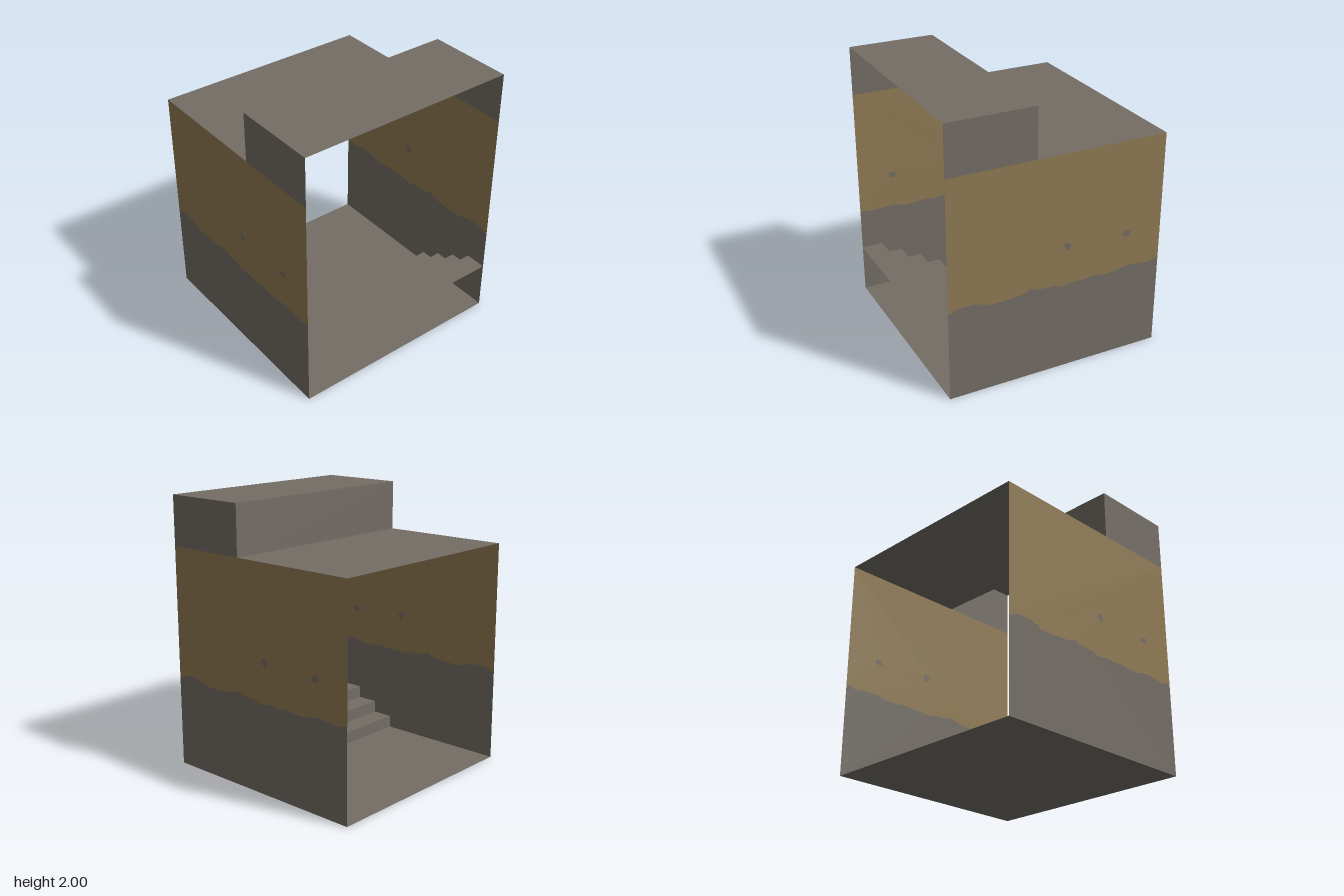
import * as THREE from 'three';

const H = 0.815;        // half width and half depth
const RISE = 0.365;     // height of the stairs and of the raised roof
const ROOF = 1.635;     // lower roof height
const TOP = 2;
const STEP_Z = 0.17;    // where the stairs and the raised roof begin
const STEPS = 4;

// Paint border along a wall: [z, y]
const BORDER = [
  [0.815, 0.668], [0.785, 0.67], [0.745, 0.695], [0.61, 0.695], [0.59, 0.68], [0.56, 0.68],
  [0.53, 0.66], [0.45, 0.658], [0.3, 0.667], [0.24, 0.68], [0.2, 0.7], [0.16, 0.678],
  [0.06, 0.67], [0.02, 0.672], [-0.01, 0.655], [-0.05, 0.652], [-0.1, 0.665], [-0.2, 0.66],
  [-0.29, 0.67], [-0.36, 0.658], [-0.44, 0.658], [-0.5, 0.672], [-0.55, 0.68],
  [-0.64, 0.675], [-0.73, 0.663], [-0.77, 0.677], [-0.815, 0.682],
];

// Chipped paint patches: [z, y]
const CHIPS = [
  [[-0.04, 0.965], [-0.05, 0.98], [-0.08, 0.98], [-0.095, 0.96], [-0.095, 0.935],
    [-0.075, 0.918], [-0.055, 0.93], [-0.055, 0.95], [-0.04, 0.955]],
  [[-0.505, 0.94], [-0.525, 0.958], [-0.555, 0.96], [-0.572, 0.94], [-0.555, 0.918],
    [-0.52, 0.915], [-0.505, 0.925]],
];

export function createModel() {
  const model = new THREE.Group();
  model.name = 'stairwell';
  const concrete = new THREE.MeshStandardMaterial({ color: 0x736d65, side: THREE.DoubleSide });
  concrete.name = 'grey concrete';
  const paint = new THREE.MeshStandardMaterial({ color: 0x8f7a54, side: THREE.DoubleSide });
  paint.name = 'ochre paint';

  const add = (parent, name, geometry, material = concrete) => {
    const mesh = new THREE.Mesh(geometry, material);
    mesh.name = name;
    parent.add(mesh);
    return mesh;
  };
  // Horizontal sheet facing up, across the full width
  const deck = (name, y, z0, z1) => {
    const mesh = add(model, name, new THREE.PlaneGeometry(2 * H, z1 - z0).rotateX(-Math.PI / 2));
    mesh.position.set(0, y, (z0 + z1) / 2);
  };
  // Vertical sheet facing the back
  const upright = (name, z, y0, y1) => {
    const mesh = add(model, name, new THREE.PlaneGeometry(2 * H, y1 - y0).rotateY(Math.PI));
    mesh.position.set(0, (y0 + y1) / 2, z);
  };
  // Outline in (z, y) laid on the x = +H plane
  const points = (list) => list.map(([z, y]) => new THREE.Vector2(z, y));
  const wallSheet = (shape) =>
    new THREE.ShapeGeometry(shape).rotateY(-Math.PI / 2).translate(H, 0, 0);

  // Floor and two-level roof
  deck('floor', 0, -H, H);
  deck('lowerRoof', ROOF, -H, STEP_Z);
  upright('roofRiser', STEP_Z, ROOF, TOP);
  deck('upperRoof', TOP, STEP_Z, H);

  // Stairs climbing towards the front
  const run = (H - STEP_Z) / STEPS;
  const rise = RISE / STEPS;
  for (let i = 0; i < STEPS; i++) {
    const z = STEP_Z + i * run;
    upright('stepRiser', z, i * rise, (i + 1) * rise);
    deck('stepTread', (i + 1) * rise, z, z + run);
  }

  // Painted side walls, the second turned half round
  for (const [side, turn] of [['left', 0], ['right', Math.PI]]) {
    const wall = new THREE.Group();
    wall.name = side + 'Wall';
    wall.rotation.y = turn;
    model.add(wall);

    const upper = new THREE.Shape(points([...BORDER, [-H, ROOF], [H, ROOF]]));
    for (const chip of CHIPS) {
      upper.holes.push(new THREE.Path(points(chip)));
      add(wall, 'paintChip', wallSheet(new THREE.Shape(points(chip))));
    }
    add(wall, 'paintedWall', wallSheet(upper), paint);
    add(wall, 'bareWall', wallSheet(new THREE.Shape(points([...BORDER, [-H, 0], [H, 0]]))));
  }

  // Bare cheeks beside the raised roof
  for (const s of [-1, 1]) {
    const cheek = add(model, s > 0 ? 'leftRoofCheek' : 'rightRoofCheek',
      new THREE.PlaneGeometry(H - STEP_Z, TOP - ROOF).rotateY(s * Math.PI / 2));
    cheek.position.set(s * H, (TOP + ROOF) / 2, (H + STEP_Z) / 2);
  }
  return model;
}
